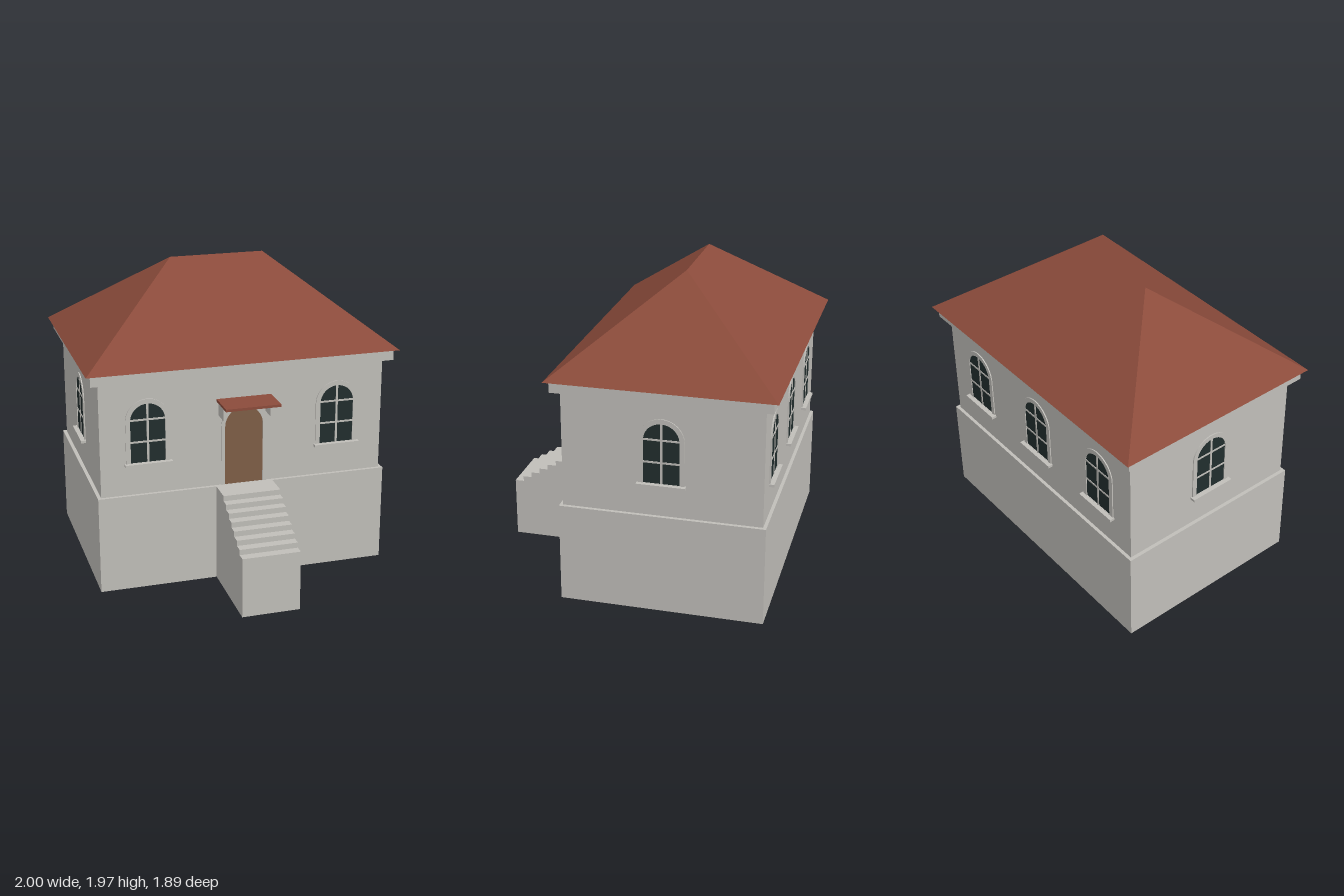
import * as THREE from 'three';

const mat = (name, color, side = THREE.FrontSide) => {
  const m = new THREE.MeshStandardMaterial({ color, side });
  m.name = name;
  return m;
};

export function createModel() {
  const stone = mat('stone', 0xc0beb9, THREE.DoubleSide);
  const tile = mat('roofTile', 0x8b4b3b);
  const wood = mat('doorWood', 0x7e5e46);
  const glass = mat('darkGlass', 0x212d2d);

  const house = new THREE.Group();
  house.name = 'house';
  const CZ = -0.252; // centre of the main building in z

  const add = (parent, name, geometry, material) => {
    const mesh = new THREE.Mesh(geometry, material);
    mesh.name = name;
    parent.add(mesh);
    return mesh;
  };
  // Box given by its limits on each axis
  const box = (parent, name, material, [x0, x1], [y0, y1], [z0, z1]) => {
    const g = new THREE.BoxGeometry(x1 - x0, y1 - y0, z1 - z0);
    g.translate((x0 + x1) / 2, (y0 + y1) / 2, (z0 + z1) / 2);
    return add(parent, name, g, material);
  };
  // Building storey centred on CZ
  const storey = (name, hx, hz, y) =>
    box(house, name, stone, [-hx, hx], y, [CZ - hz, CZ + hz]);

  // Outline with straight sides and a round top
  const arch = (path, r, y0, ySpring) => {
    path.moveTo(-r, y0);
    path.lineTo(r, y0);
    path.lineTo(r, ySpring);
    path.absarc(0, ySpring, r, 0, Math.PI, false);
    path.lineTo(-r, y0);
    return path;
  };
  const plate = (shape, depth) =>
    new THREE.ExtrudeGeometry(shape, { depth, bevelEnabled: false, curveSegments: 14 });
  const archFrame = (rOut, rIn, y0, ySpring, yIn) => {
    const s = arch(new THREE.Shape(), rOut, y0, ySpring);
    s.holes.push(arch(new THREE.Path(), rIn, yIn, ySpring));
    return plate(s, 0.007);
  };

  // Plinth, open underneath
  const plinth = storey('plinth', 0.94, 0.633, [0, 0.632]);
  const idx = Array.from(plinth.geometry.index.array);
  idx.splice(18, 6);
  plinth.geometry.setIndex(idx);
  plinth.geometry.clearGroups();

  // Main walls and cornice
  storey('walls', 0.917, 0.612, [0.632, 1.375]);
  storey('cornice', 0.97, 0.663, [1.372, 1.442]);

  // Hipped roof
  const ez = 0.693, ey = 1.442, ry = 1.972, rx = 0.307;
  const roof = new THREE.BufferGeometry();
  roof.setAttribute('position', new THREE.Float32BufferAttribute([
    -1, ey, CZ + ez, 1, ey, CZ + ez, 1, ey, CZ - ez, -1, ey, CZ - ez,
    -rx, ry, CZ, rx, ry, CZ,
  ], 3));
  roof.setIndex([
    0, 1, 5, 0, 5, 4, // front
    1, 2, 5, // left
    2, 3, 4, 2, 4, 5, // back
    3, 0, 4, // right
    0, 3, 2, 0, 2, 1, // underside
  ]);
  const roofFlat = roof.toNonIndexed();
  roofFlat.computeVertexNormals();
  add(house, 'roof', roofFlat, tile);

  // Arched window, base of wall plane at local z = 0
  const addWindow = (x, z, turn) => {
    const w = new THREE.Group();
    w.name = 'window';
    add(w, 'windowFrame', archFrame(0.14, 0.11, 0.838, 1.113, 0.842), stone);
    add(w, 'windowPane', plate(arch(new THREE.Shape(), 0.112, 0.84, 1.113), 0.002), glass);
    box(w, 'mullion', stone, [-0.007, 0.007], [0.84, 1.222], [0, 0.005]);
    for (const y of [0.977, 1.12]) {
      box(w, 'glazingBar', stone, [-0.11, 0.11], [y - 0.006, y + 0.006], [0, 0.005]);
    }
    box(w, 'windowSill', stone, [-0.15, 0.15], [0.825, 0.841], [-0.005, 0.033]);
    w.position.set(x, 0, z);
    w.rotation.y = turn;
    house.add(w);
  };
  const wallFront = CZ + 0.612, wallBack = CZ - 0.612;
  for (const x of [-0.615, 0.615]) addWindow(x, wallFront, 0);
  for (const x of [-0.615, 0, 0.615]) addWindow(x, wallBack, Math.PI);
  for (const s of [-1, 1]) addWindow(s * 0.917, CZ, s * Math.PI / 2);

  // Door with arched surround
  const door = new THREE.Group();
  door.name = 'entrance';
  door.position.z = wallFront;
  house.add(door);
  add(door, 'doorFrame', archFrame(0.147, 0.123, 0.632, 1.02, 0.633), stone);
  add(door, 'doorLeaf', plate(arch(new THREE.Shape(), 0.125, 0.633, 1.02), 0.003), wood);

  // Canopy on two brackets
  box(door, 'canopy', tile, [-0.176, 0.176], [1.19, 1.206], [0, 0.205]);
  for (const s of [-1, 1]) {
    const b = box(door, 'canopyBracket', stone, [-0.011, 0.011], [1.097, 1.19], [0, 0.102]);
    b.position.x = s * 0.152;
  }

  // Solid stair: stepped side profile extruded across x
  const steps = 8, run = 0.0575, rise = 0.0346, zFront = 0.945, zWall = CZ + 0.633;
  const side = new THREE.Shape();
  side.moveTo(zWall, 0);
  side.lineTo(zFront, 0);
  for (let i = 0; i < steps; i++) {
    const y = 0.39 + i * rise;
    side.lineTo(zFront - i * run, y);
    side.lineTo(i === steps - 1 ? zWall : zFront - (i + 1) * run, y);
  }
  const stair = new THREE.ExtrudeGeometry(side, { depth: 0.37, bevelEnabled: false });
  stair.rotateY(-Math.PI / 2);
  stair.translate(0.185, 0, 0);
  add(house, 'stairs', stair, stone);

  return house;
}
